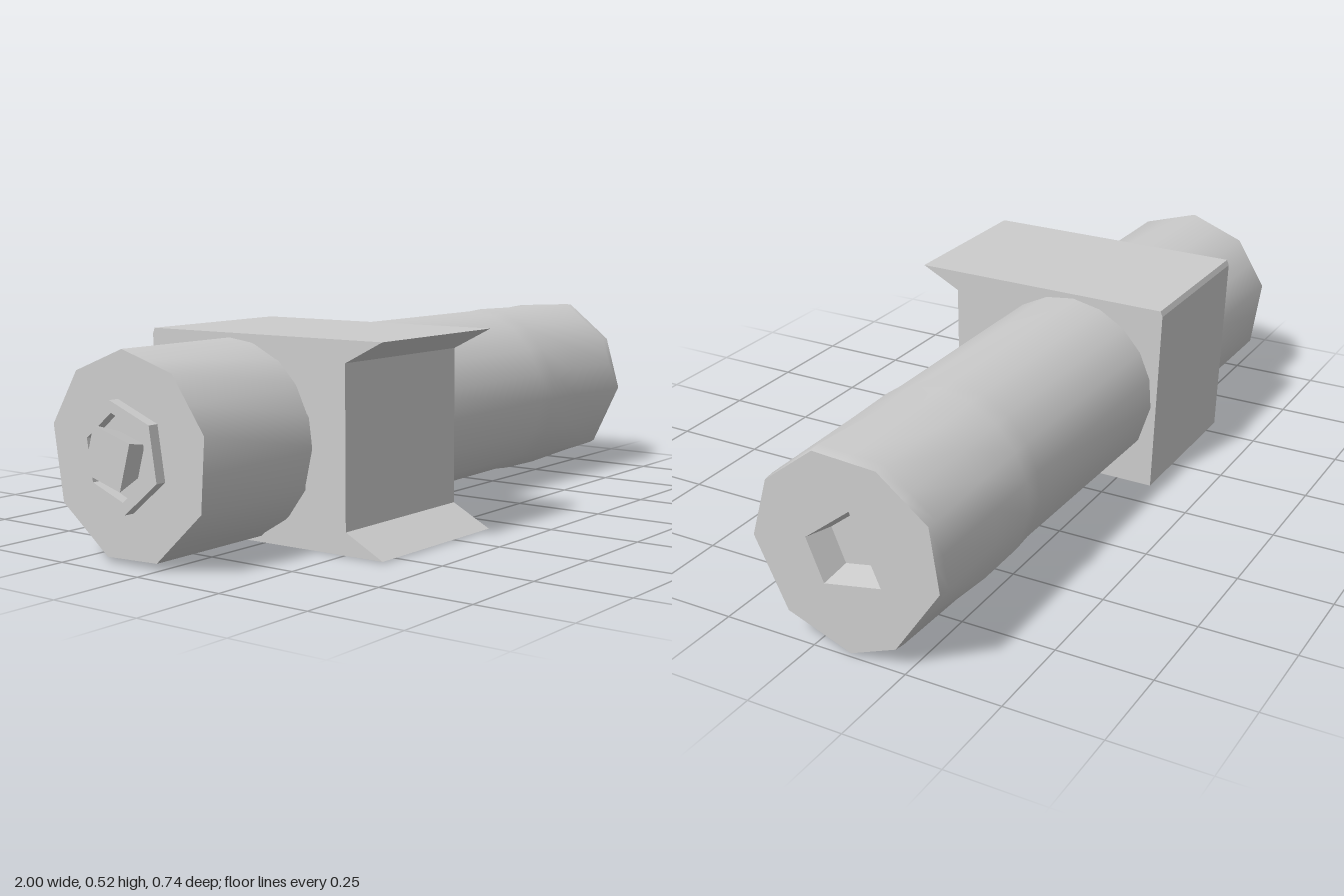
import * as THREE from 'three';

const CU = 0.095, CY = 0.258, R = 0.255; // barrel axis (u = -z) and radius

// Outlines are [u, y] pairs, with u = -z, counter-clockwise seen from +x
const toShape = (pts) => new THREE.Shape(pts.map(([u, y]) => new THREE.Vector2(u, y)));
const scaled = (pts, s) => {
  const n = pts.length;
  const mu = pts.reduce((t, p) => t + p[0], 0) / n, my = pts.reduce((t, p) => t + p[1], 0) / n;
  return pts.map(([u, y]) => [mu + (u - mu) * s, my + (y - my) * s]);
};
const midpoint = (a, b) => [(a[0] + b[0]) / 2, (a[1] + b[1]) / 2];

// Skin through cross-sections { x, pts } along the x axis
function loft(sections) {
  const n = sections[0].pts.length, pos = [], idx = [];
  for (const { x, pts } of sections) for (const [u, y] of pts) pos.push(x, y, -u);
  for (let i = 0; i < sections.length - 1; i++) {
    for (let j = 0; j < n; j++) {
      const a = i * n + j, b = i * n + (j + 1) % n;
      idx.push(a, b, b + n, a, b + n, a + n);
    }
  }
  const g = new THREE.BufferGeometry();
  g.setAttribute('position', new THREE.Float32BufferAttribute(pos, 3));
  g.setIndex(idx);
  g.computeVertexNormals();
  return g;
}

const flatFace = (shape, x) => new THREE.ShapeGeometry(shape).rotateY(Math.PI / 2).translate(x, 0, 0);
const extrudeX = (shape, x0, x1) => new THREE.ExtrudeGeometry(shape, { depth: x1 - x0, bevelEnabled: false })
  .rotateY(Math.PI / 2).translate(x0, 0, 0);

export function createModel() {
  const group = new THREE.Group();
  const smooth = new THREE.MeshStandardMaterial({ color: 0xcccccc });
  const flat = new THREE.MeshStandardMaterial({ color: 0xcccccc, flatShading: true, side: THREE.DoubleSide });
  const add = (name, geometry, material = flat) => {
    const mesh = new THREE.Mesh(geometry, material);
    mesh.name = name;
    group.add(mesh);
    return mesh;
  };

  // Barrel: nine-sided at both ends, rounder through the middle
  const corners = [[0.347, 0.235], [0.322, 0.398], [0.19, 0.5], [0.02, 0.51], [-0.115, 0.405],
    [-0.16, 0.25], [-0.073, 0.07], [0.1, 0.005], [0.225, 0.055]];
  const rightEnd = corners.flatMap((p, i) => [p, midpoint(p, corners[(i + 1) % 9])]);
  const ring = (r, cy = CY) => rightEnd.map(([u, y]) => {
    const a = Math.atan2(y - CY, u - CU);
    return [CU + r * Math.cos(a), cy + r * Math.sin(a)];
  });
  const round = ring(R);
  const leftEnd = round.map((p, i) => (i % 2 ? p : midpoint(round[(i + 17) % 18], round[(i + 1) % 18])));
  add('barrel', loft([
    { x: -0.93, pts: leftEnd },
    { x: -0.5, pts: ring(0.254) },
    { x: -0.1, pts: ring(0.251, 0.261) },
    { x: 0.53, pts: ring(0.246, 0.265) },
    { x: 0.59, pts: ring(0.25, 0.264) },
    { x: 0.74, pts: ring(0.249, 0.261) },
    { x: 0.965, pts: scaled(rightEnd, 1.005) },
    { x: 0.995, pts: scaled(rightEnd, 0.99) },
  ]), smooth);

  // Right end face with a four-sided socket
  const socket = [[0.19, 0.205], [0.113, 0.38], [-0.01, 0.283], [0.035, 0.175]];
  const face = toShape(scaled(rightEnd, 0.99));
  face.holes.push(toShape(socket));
  add('rightEndFace', flatFace(face, 0.995));
  const socketFloor = scaled(socket, 0.8);
  add('socketWalls', loft([{ x: 0.995, pts: socket }, { x: 0.92, pts: socketFloor }]));
  add('socketFloor', flatFace(toShape(socketFloor), 0.92));

  // Left end face with a hexagonal collar around a flared post
  add('leftEndFace', flatFace(toShape(leftEnd), -0.93));
  const hex = Array.from({ length: 6 }, (_, i) => {
    const a = (i + 0.35) * Math.PI / 3;
    return [0.1 + 0.135 * Math.cos(a), 0.262 + 0.135 * Math.sin(a)];
  });
  const collar = toShape(hex);
  collar.holes.push(toShape(scaled(hex, 0.78)));
  add('collar', extrudeX(collar, -0.958, -0.93));
  const post = add('post', new THREE.CylinderGeometry(0.085, 0.06, 0.07, 4).rotateY(0.5).rotateZ(Math.PI / 2));
  post.position.set(-0.965, 0.267, -0.09);

  // Clamp block with pointed lips along its front edges
  add('clampBlock', extrudeX(toShape([[-0.37, 0.005], [0.352, 0.002], [0.37, 0.508], [0.364, 0.523],
    [-0.37, 0.526], [-0.26, 0.47], [-0.26, 0.062]]), -0.56, -0.097));

  return group;
}
